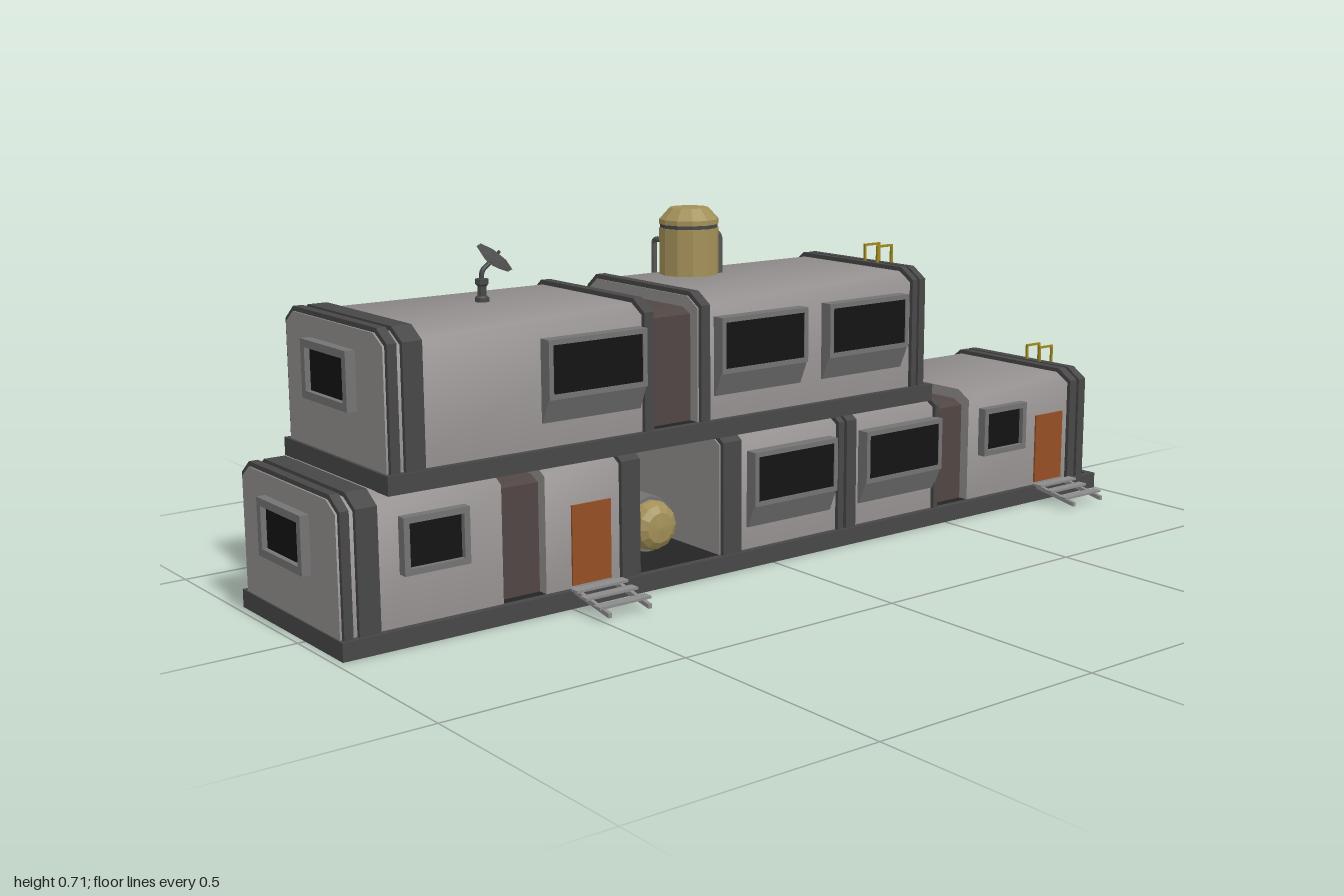
import * as THREE from 'three';
import { toCreasedNormals } from 'three/addons/utils/BufferGeometryUtils.js';

const mat = (color, extra = {}) => new THREE.MeshStandardMaterial({ color, flatShading: true, ...extra });
const WALL = mat(0x938f8e, { flatShading: false }), BROWN = mat(0x504543, { flatShading: false });
const FRAME = mat(0x747373), STEEL = mat(0x8c8c8c), DARK = mat(0x474747), PIPE = mat(0x555555);
const GLASS = mat(0x131313), FLOOR = mat(0x242424);
const ORANGE = mat(0x944e24), TAN = mat(0xa39058), YELLOW = mat(0xa08a20);
const THIN = mat(0x848484, { side: THREE.DoubleSide });

export function createModel() {
  const root = new THREE.Group();

  const add = (name, geo, material, parent = root) => {
    const m = new THREE.Mesh(geo, material);
    m.name = name;
    parent.add(m);
    return m;
  };
  const group = name => {
    const g = new THREE.Group();
    g.name = name;
    root.add(g);
    return g;
  };
  // Box from its limits
  const box = (name, x0, x1, y0, y1, z0, z1, material, parent) => add(name,
    new THREE.BoxGeometry(x1 - x0, y1 - y0, z1 - z0)
      .translate((x0 + x1) / 2, (y0 + y1) / 2, (z0 + z1) / 2), material, parent);
  // Cross-section of (z, y) points extruded along x, shallow edges smoothed
  const prism = (name, pts, x0, x1, material, parent) => {
    const shape = new THREE.Shape(pts.map(p => new THREE.Vector2(...p)));
    const geo = new THREE.ExtrudeGeometry(shape, { depth: x1 - x0, bevelEnabled: false });
    return add(name, toCreasedNormals(geo.rotateY(-Math.PI / 2).translate(x1, 0, 0), 1.1), material, parent);
  };
  // Cabin cross-section with chamfered roof edges, shrunk by d
  const section = (y, d) => [
    [0.141 - d, y], [0.141 - d, y + 0.234 - d * 0.6], [0.104 - d * 0.6, y + 0.258 - d],
    [-0.218 + d * 0.6, y + 0.258 - d], [-0.252 + d, y + 0.231 - d * 0.6], [-0.252 + d, y],
  ];
  // Pipe of straight runs with rounded corners
  const tube = (name, pts, r, material) => {
    const path = new THREE.CurvePath();
    const v = pts.map(p => new THREE.Vector3(...p));
    let from = v[0];
    for (let i = 1; i < v.length - 1; i++) {
      const a = v[i].clone().add(v[i - 1].clone().sub(v[i]).setLength(r * 2));
      const b = v[i].clone().add(v[i + 1].clone().sub(v[i]).setLength(r * 2));
      path.add(new THREE.LineCurve3(from, a));
      path.add(new THREE.QuadraticBezierCurve3(a, v[i], b));
      from = b;
    }
    path.add(new THREE.LineCurve3(from, v[v.length - 1]));
    return add(name, new THREE.TubeGeometry(path, 60, r, 8), material);
  };

  // One storey: rimmed slab open below, cabins, recessed connectors and ribs
  const storey = (name, y, [x0, x1], cabins, connectors, ribs) => {
    const g = group(name);
    const low = y - 0.036, w = 0.016;
    box('floorPlate', x0 + w, x1 - w, y - 0.008, y, -0.26 + w, 0.146 - w, FLOOR, g);
    [[-0.26, -0.26 + w], [0.146 - w, 0.146]].forEach(([a, b]) => box('slabSide', x0, x1, low, y, a, b, DARK, g));
    [[x0, x0 + w], [x1 - w, x1]].forEach(([a, b]) => box('slabEnd', a, b, low, y, -0.26 + w, 0.146 - w, DARK, g));
    cabins.forEach(([a, b]) => prism('cabin', section(y, 0.009), a, b, WALL, g));
    connectors.forEach(([a, b]) => prism('connector', section(y, 0.032), a, b, BROWN, g));
    ribs.forEach(([a, b]) => prism('rib', section(y, 0), a, b, DARK, g));
  };
  storey('lowerStorey', 0.036, [-0.985, 1],
    [[-0.982, -0.645], [-0.55, -0.333], [-0.132, 0.48], [0.58, 0.966]],
    [[-0.65, -0.54], [0.475, 0.585]],
    [[-0.978, -0.96], [-0.948, -0.905], [-0.38, -0.336], [-0.129, -0.082], [0.182, 0.197],
      [0.205, 0.232], [0.466, 0.477], [0.908, 0.93], [0.938, 0.96]]);
  storey('upperStorey', 0.32, [-0.885, 0.45],
    [[-0.879, -0.297], [-0.187, 0.431]], [[-0.3, -0.18]],
    [[-0.875, -0.856], [-0.845, -0.805], [-0.322, -0.3], [-0.184, -0.162], [0.39, 0.404], [0.41, 0.427]]);

  // Window frame with recessed glass, facing +z, centred on the origin
  const frame = (w, h, depth, rim) => {
    const g = group('window');
    const rect = (T, a, b) => new T([[-a, -b], [a, -b], [a, b], [-a, b]].map(p => new THREE.Vector2(...p)));
    const shape = rect(THREE.Shape, w / 2, h / 2);
    shape.holes.push(rect(THREE.Path, w / 2 - rim, h / 2 - rim));
    add('windowFrame', new THREE.ExtrudeGeometry(shape, { depth, bevelEnabled: false }), FRAME, g);
    box('windowGlass', -w / 2 + rim, w / 2 - rim, -h / 2 + rim, h / 2 - rim, 0, depth * 0.5, GLASS, g);
    return g;
  };
  // Bay windows with a sloping sill
  const bay = (x, y) => {
    prism('bayWindow', [[0.12, y - 0.16], [0.136, y - 0.16], [0.156, y - 0.113], [0.156, y], [0.12, y]],
      x - 0.112, x + 0.112, FRAME);
    frame(0.224, 0.113, 0.004, 0.01).position.set(x, y - 0.0565, 0.156);
  };
  [-0.441, -0.034, 0.25].forEach(x => bay(x, 0.528));
  [0.051, 0.358].forEach(x => bay(x, 0.243));
  // Flat windows on the front and on the end walls
  [-0.792, 0.681].forEach(x => frame(0.136, 0.108, 0.022, 0.012).position.set(x, 0.188, 0.13));
  [[-0.978, 0.188], [-0.877, 0.473]].forEach(([x, y]) => {
    const w = frame(0.176, 0.112, 0.022, 0.015);
    w.position.set(x, y, -0.058);
    w.rotation.y = -Math.PI / 2;
  });

  // Doors with steps
  [-0.447, 0.845].forEach(x => {
    box('door', x - 0.045, x + 0.045, 0.042, 0.2, 0.12, 0.136, ORANGE);
    const g = group('steps');
    [-0.046, 0.046].forEach(dx => prism('stringer', [[0.26, 0.01], [0.26, 0.019], [0.14, 0.041], [0.14, 0.031]],
      x + dx - 0.004, x + dx + 0.004, STEEL, g));
    [[0.235, 0.027], [0.192, 0.034], [0.16, 0.041]].forEach(([z, y]) =>
      box('tread', x - 0.06, x + 0.06, y - 0.003, y + 0.002, z - 0.011, z + 0.011, STEEL, g));
  });

  // Ladders: rails hook over the roof edge
  const ladder = (x, y0, roof) => {
    const g = group('ladder');
    const r = 0.0025, top = roof + 0.037;
    [0.013, -0.027].forEach(z => {
      box('rail', x - r, x + r, y0, top, z - r, z + r, YELLOW, g);
      box('railTop', x - 0.042, x, top - 2 * r, top, z - r, z + r, YELLOW, g);
      box('railHook', x - 0.042 - r, x - 0.042 + r, roof - 0.01, top, z - r, z + r, YELLOW, g);
    });
    for (let y = y0 + 0.025; y < roof; y += 0.0278)
      box('rung', x - r, x + r, y - 0.002, y + 0.002, -0.027, 0.013, YELLOW, g);
  };
  ladder(0.983, 0.036, 0.293);
  ladder(0.447, 0.32, 0.578);

  const lathe = (name, pts, n, material, parent) =>
    add(name, new THREE.LatheGeometry(pts.map(p => new THREE.Vector2(...p)), n), material, parent);

  // Roof tank with its recessed band, cap and pipes
  const tank = group('roofTank');
  tank.position.set(-0.01, 0.575, -0.125);
  lathe('tankBody', [[0, 0], [0.063, 0], [0.063, 0.098], [0.05, 0.098]], 12, TAN, tank);
  lathe('tankBand', [[0.061, 0.096], [0.061, 0.108]], 12, DARK, tank);
  lathe('tankCap', [[0.05, 0.106], [0.063, 0.106], [0.063, 0.116], [0.041, 0.14], [0, 0.14]], 12, TAN, tank);
  tube('sidePipe', [[0.04, 0.658, -0.125], [0.068, 0.658, -0.125], [0.068, 0.57, -0.125]], 0.01, PIPE);
  tube('backPipe', [[-0.01, 0.637, -0.17], [-0.01, 0.637, -0.249], [-0.01, 0.318, -0.249]], 0.006, PIPE);

  // Lying tank in the open bay: plain drum with domed ends
  const low = group('bayTank');
  low.position.set(-0.225, 0.093, -0.08);
  low.rotation.x = Math.PI / 2;
  lathe('bayTankDrum', [[0, -0.1], [0.059, -0.1], [0.059, 0.1], [0, 0.1]], 12, FRAME, low);
  [0, Math.PI].forEach(turn => {
    lathe('bayTankDome', [[0.052, 0.098], [0.052, 0.112], [0.046, 0.128], [0.032, 0.138], [0, 0.142]],
      12, TAN, low).rotation.x = turn;
  });
  [-0.145, -0.005].forEach(z => box('tankCradle', -0.265, -0.185, 0.034, 0.055, z - 0.01, z + 0.01, DARK));
  tube('bayPipe', [[-0.27, 0.105, -0.06], [-0.305, 0.105, -0.06], [-0.305, 0.29, -0.06]], 0.006, PIPE);

  // Dish on a short mast
  const mast = lathe('dishMast', [[0, 0], [0.014, 0], [0.014, 0.008], [0.009, 0.012], [0.009, 0.03],
    [0.013, 0.034], [0.013, 0.044], [0, 0.046]], 8, DARK);
  mast.position.set(-0.56, 0.575, -0.058);
  tube('dishArm', [[-0.56, 0.612, -0.058], [-0.56, 0.635, -0.058], [-0.543, 0.647, -0.058]], 0.005, DARK);
  const dish = group('dish');
  dish.position.set(-0.541, 0.649, -0.055);
  dish.rotation.z = -Math.PI / 4;
  lathe('dishBowl', [[0, 0], [0.022, 0.003], [0.042, 0.012]], 8, THIN, dish);
  add('dishFeed', new THREE.CylinderGeometry(0.002, 0.002, 0.026, 6).translate(0, 0.013, 0), DARK, dish);
  add('dishFeedTip', new THREE.SphereGeometry(0.004, 6, 4).translate(0, 0.026, 0), DARK, dish);
  return root;
}
